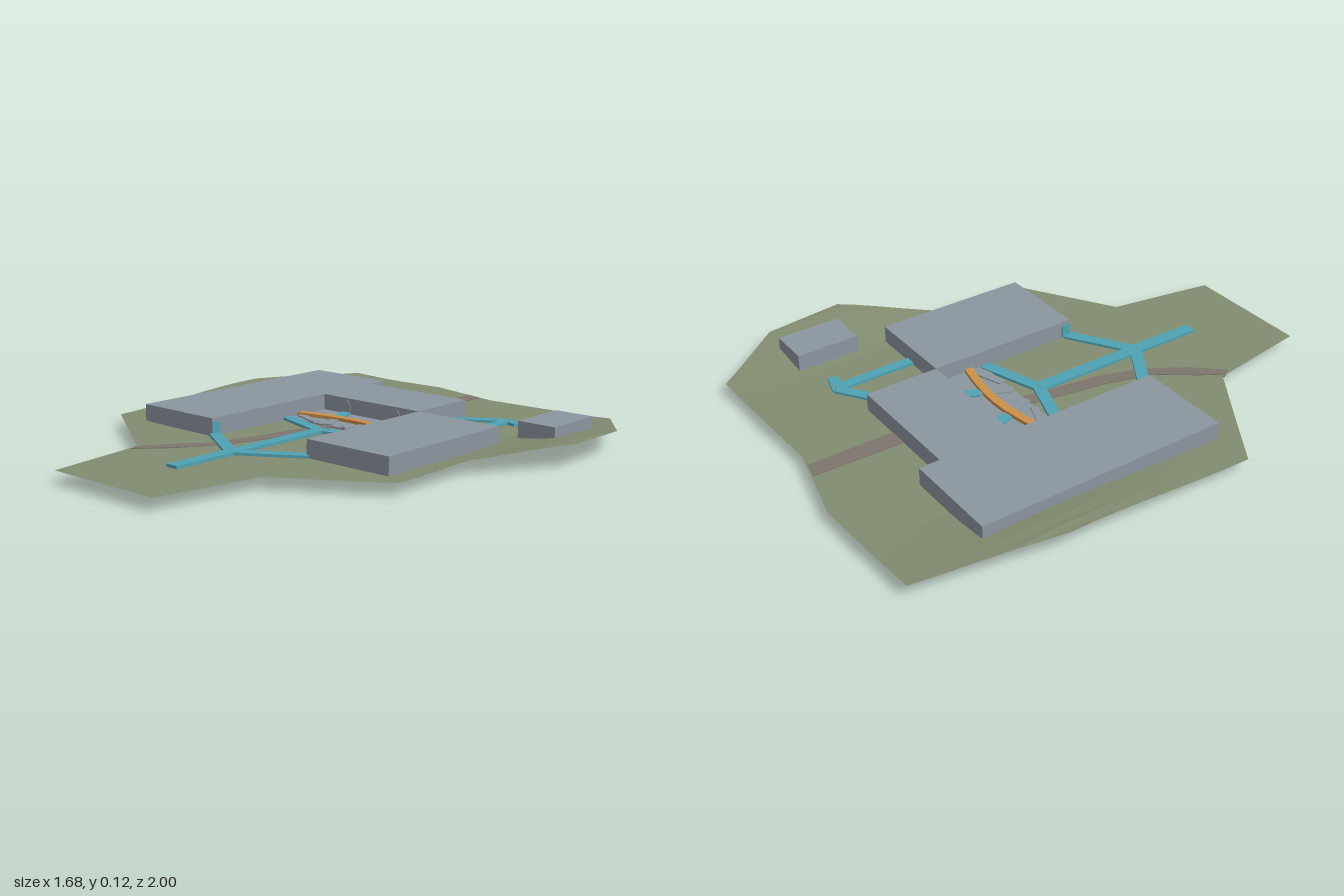
import * as THREE from 'three';

const mat = (name, color, extra = {}) =>
  Object.assign(new THREE.MeshStandardMaterial({ color, ...extra }), { name });

export function createModel() {
  const group = new THREE.Group();
  const grass = mat('olive grass', 0x828c70, { side: THREE.DoubleSide, flatShading: true });
  const grey = mat('grey concrete', 0x8b969f);
  const teal = mat('teal paving', 0x4fa3b3);
  const orange = mat('orange corridor', 0xcb9148);
  const creekBed = mat('brown creek bed', 0x7d766d);

  const add = (name, geometry, material) => {
    const mesh = new THREE.Mesh(geometry, material);
    mesh.name = name;
    group.add(mesh);
    return mesh;
  };
  // Axis-aligned block given by its limits
  const block = (name, x0, x1, y0, y1, z0, z1, material = grey) =>
    add(name, new THREE.BoxGeometry(x1 - x0, y1 - y0, z1 - z0), material)
      .position.set((x0 + x1) / 2, (y0 + y1) / 2, (z0 + z1) / 2);
  // Plan outline (x, z) raised between two heights
  const slab = (name, plan, y0, y1, material) => {
    const shape = new THREE.Shape(plan.map(([x, z]) => new THREE.Vector2(x, -z)));
    const g = new THREE.ExtrudeGeometry(shape, { depth: y1 - y0, bevelEnabled: false });
    g.rotateX(-Math.PI / 2).translate(0, y0, 0);
    return add(name, g, material);
  };
  // Straight strip between two plan points
  const strip = (name, [ax, az], [bx, bz], width, y0, y1, material) => {
    const l = Math.hypot(bx - ax, bz - az);
    const nx = -(bz - az) / l * width / 2, nz = (bx - ax) / l * width / 2;
    return slab(name, [[ax + nx, az + nz], [bx + nx, bz + nz], [bx - nx, bz - nz], [ax - nx, az - nz]], y0, y1, material);
  };

  // Terrain: columns between the back and front outline, rising to both sides
  const back = [[-0.845, -0.45], [-0.73, -0.98], [-0.27, -1], [0.05, -0.925], [0.615, -0.945], [0.815, -0.665], [0.84, -0.355]];
  const front = [[-0.845, 0.3], [-0.4, 0.585], [-0.335, 0.995], [0.167, 0.995], [0.235, 0.585], [0.619, 0.345], [0.621, -0.03], [0.84, -0.355]];
  const at = (line, x) => {
    let i = 1;
    while (i < line.length - 1 && x > line[i][0]) i++;
    const [a, b] = [line[i - 1], line[i]];
    return THREE.MathUtils.lerp(a[1], b[1], (x - a[0]) / (b[0] - a[0]));
  };
  const height = (x, z) => {
    const side = THREE.MathUtils.smoothstep(Math.abs(x), 0.48, 0.84);
    const hump = Math.exp(-(((z + 0.42) / 0.48) ** 2));
    return 0.047 + 0.043 * side * hump;
  };
  const xs = [...new Set([...back, ...front].map(p => p[0]).concat(
    Array.from({ length: 33 }, (_, i) => -0.8 + i * 0.05)))].sort((a, b) => a - b);
  const rows = 30, pos = [], idx = [];
  xs.forEach((x, i) => {
    for (let j = 0; j <= rows; j++) {
      const z = THREE.MathUtils.lerp(at(back, x), at(front, x), j / rows);
      pos.push(x, height(x, z), z);
      if (i && j) {
        const d = i * (rows + 1) + j, c = d - 1, b = d - rows - 1, a = b - 1;
        idx.push(a, b, c, c, b, d);
      }
    }
  });
  const land = new THREE.BufferGeometry();
  land.setAttribute('position', new THREE.Float32BufferAttribute(pos, 3));
  land.setIndex(idx);
  land.computeVertexNormals();
  add('terrain', land, grass);

  // Creek bed winding below the buildings, showing on both faces of the terrain
  slab('creek', [
    [-0.07, -0.945], [-0.005, -0.93], [-0.005, -0.6], [-0.05, -0.3], [-0.1, 0], [-0.13, 0.2], [-0.18, 0.36],
    [-0.28, 0.52], [-0.38, 0.63], [-0.395, 0.6], [-0.345, 0.52], [-0.24, 0.38], [-0.19, 0.2], [-0.155, 0], [-0.1, -0.3], [-0.08, -0.6],
  ], 0.036, 0.05, creekBed);

  // Main buildings
  slab('mainBuilding', [[-0.69, -0.68], [-0.315, -0.68], [-0.315, -0.6], [0.17, -0.6], [0.17, -0.31], [-0.315, -0.31], [-0.315, 0.3], [-0.69, 0.3]], 0.042, 0.115, grey);
  block('eastBuilding', 0.17, 0.54, 0.042, 0.115, -0.31, 0.3);
  block('outbuilding', 0.54, 0.7, 0.046, 0.115, -0.68, -0.43);

  // Basement and courtyard deck
  block('westBasement', -0.69, -0.315, 0.002, 0.045, -0.47, -0.17);
  block('courtyardDeck', -0.315, 0.17, 0.002, 0.053, -0.31, -0.105);
  block('basementHatch', -0.56, -0.52, 0.002, 0.04, -0.485, -0.46, orange);

  // Curved corridor crossing the courtyard and running under both wings
  const arc = new THREE.CatmullRomCurve3([
    [-0.5, -0.115], [-0.315, -0.17], [-0.07, -0.205], [0.17, -0.17], [0.355, -0.115],
  ].map(([x, z]) => new THREE.Vector3(x, 0, z))).getPoints(16);
  slab('curvedCorridor', [
    ...arc.map(p => [p.x, p.z - 0.016]), ...arc.reverse().map(p => [p.x, p.z + 0.016]),
  ], 0, 0.066, orange);

  // Fan of deck ribs and short paths from the doors
  const hub = [-0.07, -0.02];
  for (const s of [-1, 1]) {
    const door = [-0.07 + s * 0.127, -0.31], mid = [-0.07 + s * 0.09, -0.222];
    strip('doorPath', door, mid, 0.042, 0.05, 0.06, teal);
    strip('deckRib', mid, [-0.07 + s * 0.04, -0.106], 0.036, 0.05, 0.058, grey);
    strip('deckRib', [-0.07 + s * 0.235, -0.16], [-0.07 + s * 0.1, -0.112], 0.03, 0.05, 0.058, grey);
    // Arched door plate on the courtyard wall
    const arch = new THREE.Shape();
    arch.moveTo(-0.022, 0).lineTo(0.022, 0).lineTo(0.022, 0.04);
    arch.absarc(0, 0.04, 0.016, 0, Math.PI);
    arch.lineTo(-0.022, 0.04);
    const plate = new THREE.ExtrudeGeometry(arch, { depth: 0.004, bevelEnabled: false, curveSegments: 6 });
    add('archedDoor', plate, grey).position.set(door[0], 0.052, -0.311);
    // Branch paths and side doors
    const wall = -0.0725 + s * 0.2425;
    strip('upperBranch', hub, [wall, -0.1], 0.045, 0.045, 0.057, teal);
    strip('lowerBranch', [-0.07, 0.435], [wall, 0.285], 0.045, 0.045, 0.057, teal);
    block('sideDoor', wall - 0.004, wall + 0.004, 0.05, 0.1, 0.262, 0.298, teal);
  }

  // Main walk and the rear walk
  block('mainWalk', -0.095, -0.045, 0.045, 0.058, -0.02, 0.71, teal);
  block('rearWalk', 0.335, 0.375, 0.045, 0.058, -0.63, -0.31, teal);
  strip('rearBranch', [0.17, -0.51], [0.345, -0.63], 0.04, 0.045, 0.057, teal);
  strip('rearStub', [0.335, -0.63], [0.42, -0.605], 0.04, 0.045, 0.0575, teal);

  return group;
}
